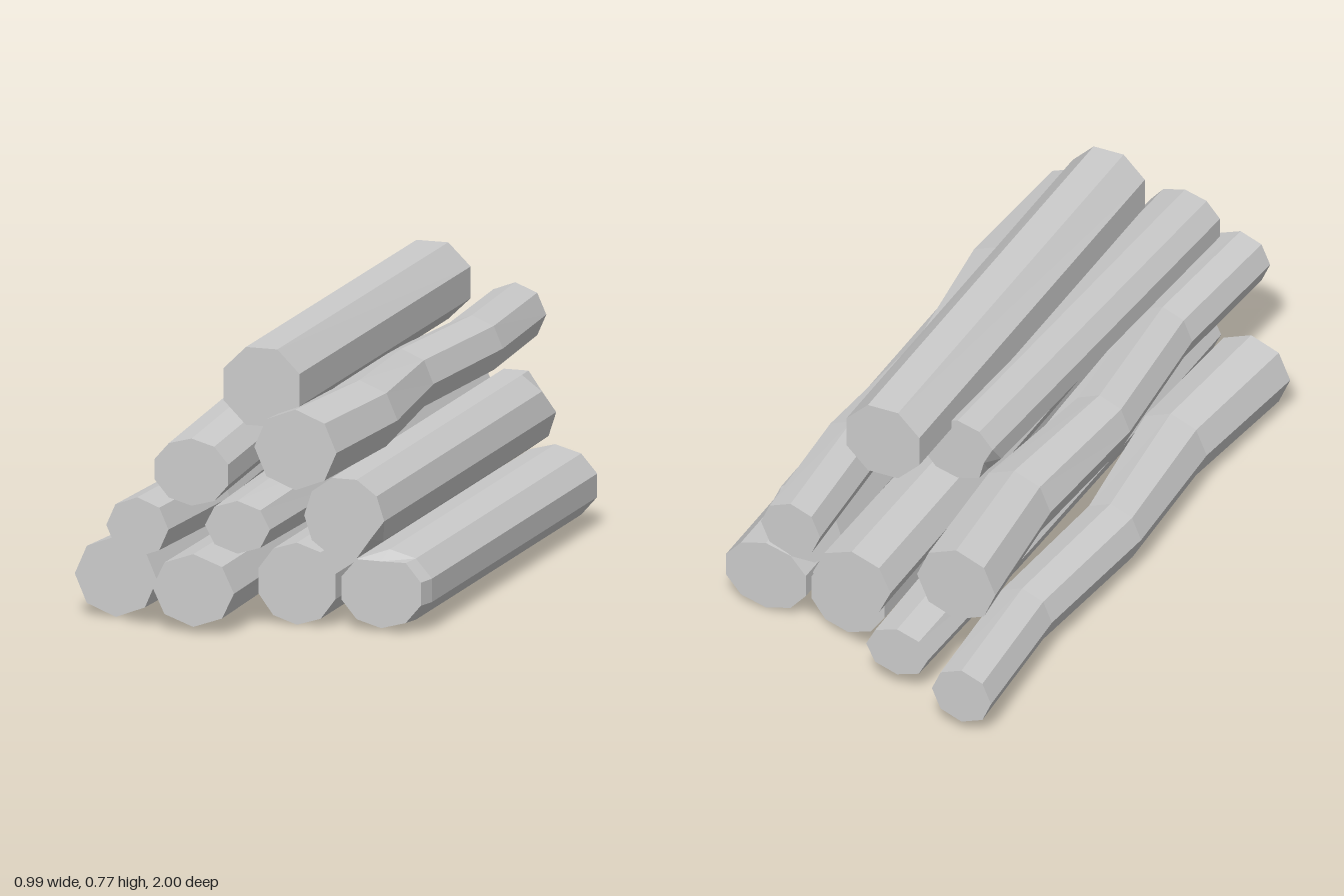
import * as THREE from 'three';

const material = new THREE.MeshStandardMaterial({ color: 0xcccccc, flatShading: true });

// One log: polygon rings [z, x, y, rx, ry] joined in order of z and capped.
// notch = { ring, side, depth } pulls a single corner inwards.
function makeLog(name, rings, sides, phase = 0, notches = []) {
  const sorted = rings.slice().sort((a, b) => a[0] - b[0]);
  const positions = [];
  const index = [];
  sorted.forEach(([z, x, y, rx, ry], k) => {
    for (let i = 0; i < sides; i++) {
      const angle = phase + (i / sides) * Math.PI * 2;
      const cut = notches.find((n) => (n.ring + sorted.length) % sorted.length === k && n.side === i);
      const s = cut ? 1 - cut.depth : 1;
      positions.push(x + Math.cos(angle) * rx * s, y + Math.sin(angle) * ry * s, z);
    }
  });
  const last = sorted.length - 1;
  const back = positions.length / 3;
  for (const k of [0, last]) positions.push(sorted[k][1], sorted[k][2], sorted[k][0]);
  for (let i = 0; i < sides; i++) {
    const j = (i + 1) % sides;
    for (let k = 0; k < last; k++) {
      const a = k * sides + i, b = k * sides + j;
      index.push(a, b, b + sides, a, b + sides, a + sides);
    }
    index.push(back, j, i);
    index.push(back + 1, last * sides + i, last * sides + j);
  }
  const indexed = new THREE.BufferGeometry();
  indexed.setAttribute('position', new THREE.Float32BufferAttribute(positions, 3));
  indexed.setIndex(index);
  const geometry = indexed.toNonIndexed();
  geometry.computeVertexNormals();
  const mesh = new THREE.Mesh(geometry, material);
  mesh.name = name;
  return mesh;
}

// Long crooked log: thin end at z = -1, thick end at z = 0.78 (dir -1 turns it round)
const crookedRings = (x, y, dir) => [
  [-1, 0, 0, 0.09, 0.084],
  [-0.57, 0.026, 0, 0.09, 0.087],
  [-0.1, -0.012, 0, 0.093, 0.092],
  [0.35, 0.026, 0, 0.11, 0.105],
  [0.78, -0.008, 0, 0.119, 0.113],
].map(([z, dx, dy, rx, ry]) => [z * dir, x + dx, y + dy, rx, ry]);

// Tapered log: thick end at z = -0.89, thin end at z = 0.89
const taperedRings = (x, y, dir) => [
  [-0.89, 0.005, 0, 0.118, 0.102],
  [-0.3, 0.002, 0, 0.113, 0.097],
  [0.3, -0.004, 0, 0.104, 0.087],
  [0.89, 0, 0, 0.094, 0.074],
].map(([z, dx, dy, rx, ry]) => [z * dir, x + dx, y + dy, rx, ry]);

// Short straight log, with rings close to the ends so the corners can be chipped
const straightRings = (x, y, rx, ry, z = 0, slope = 0) =>
  [-0.705, -0.65, 0.65, 0.705].map((d) => [z + d, x, y - slope * d, rx, ry]);

export function createModel() {
  const group = new THREE.Group();
  group.name = 'logPile';

  // Bottom row
  group.add(makeLog('bottomLogCrooked', crookedRings(-0.372, 0.117, 1), 8));
  group.add(makeLog('bottomLogTapered', taperedRings(-0.122, 0.122, -1), 8));
  group.add(makeLog('bottomLogInner', straightRings(0.118, 0.119, 0.117, 0.115), 10, Math.PI / 10,
    [{ ring: 0, side: 2, depth: 0.25 }]));
  const outer = straightRings(0.368, 0.117, 0.128, 0.106);
  outer[3] = [0.705, 0.362, 0.117, 0.121, 0.104];
  group.add(makeLog('bottomLogOuter', outer, 10, Math.PI / 10, [{ ring: -1, side: 2, depth: 0.2 }]));

  // Second row
  group.add(makeLog('secondLogCrooked', crookedRings(-0.24, 0.314, -1), 8));
  group.add(makeLog('secondLogTapered', taperedRings(0.011, 0.309, 1), 8));
  group.add(makeLog('secondLogStraight', straightRings(0.255, 0.313, 0.116, 0.116), 10, 0,
    [{ ring: -1, side: 9, depth: 0.2 }, { ring: 0, side: 1, depth: 0.2 }]));

  // Third row: the left-hand log dips towards the front
  group.add(makeLog('thirdLogTilted', straightRings(-0.115, 0.505, 0.112, 0.094, 0.205, 0.066), 10, Math.PI / 10,
    [{ ring: 0, side: 5, depth: 0.25 }]));
  group.add(makeLog('thirdLogCrooked', crookedRings(0.148, 0.512, 1), 8));

  // Top log
  group.add(makeLog('topLog', [
    [-0.7, 0.014, 0.659, 0.12, 0.116],
    [0.7, 0.014, 0.661, 0.119, 0.118],
  ], 8, Math.PI / 8));

  return group;
}
